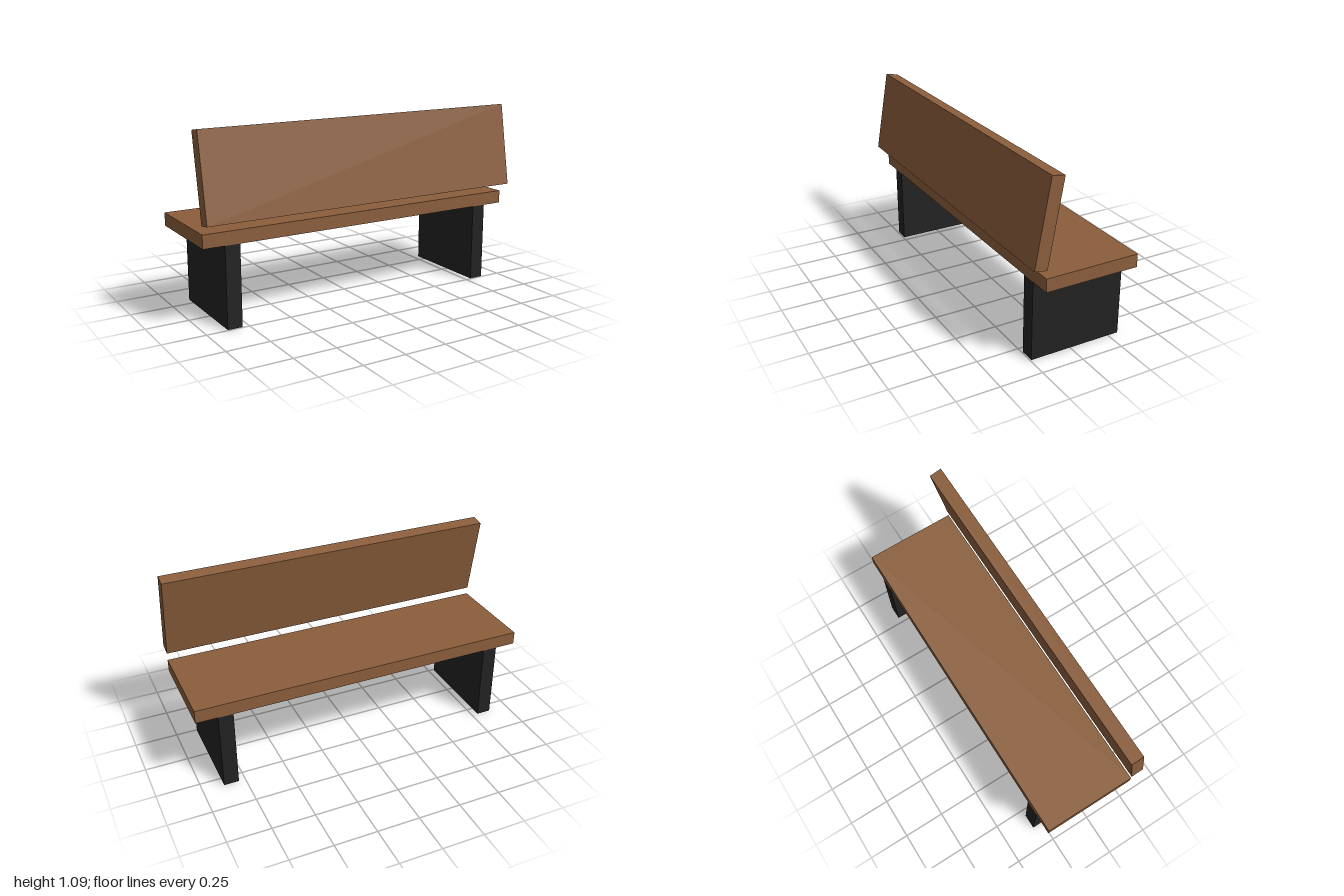
import * as THREE from 'three';

export function createModel() {
  const bench = new THREE.Group();
  bench.name = 'bench';
  const wood = new THREE.MeshStandardMaterial({ color: 0x8b5e3c });
  wood.name = 'brown wood';
  const metal = new THREE.MeshStandardMaterial({ color: 0x222222 });
  metal.name = 'black metal';

  const addBox = (name, size, position, material) => {
    const mesh = new THREE.Mesh(new THREE.BoxGeometry(...size), material);
    mesh.name = name;
    mesh.position.set(...position);
    bench.add(mesh);
    return mesh;
  };

  const depth = 0.557, midZ = -0.0355, seatBottom = 0.468, thickness = 0.077;

  // Seat plank
  addBox('seat', [2, thickness, depth], [0, seatBottom + thickness / 2, midZ], wood);

  // Backrest plank, its top tilted ten degrees over the seat
  const backrest = addBox('backrest', [2, 0.495, 0.076], [0, 0.84, 0.234], wood);
  backrest.rotation.x = -Math.PI / 18;

  // Slab legs under both ends
  for (const [name, side] of [['leftLeg', 1], ['rightLeg', -1]]) {
    addBox(name, [0.087, seatBottom, depth], [side * 0.832, seatBottom / 2, midZ], metal);
  }
  return bench;
}
